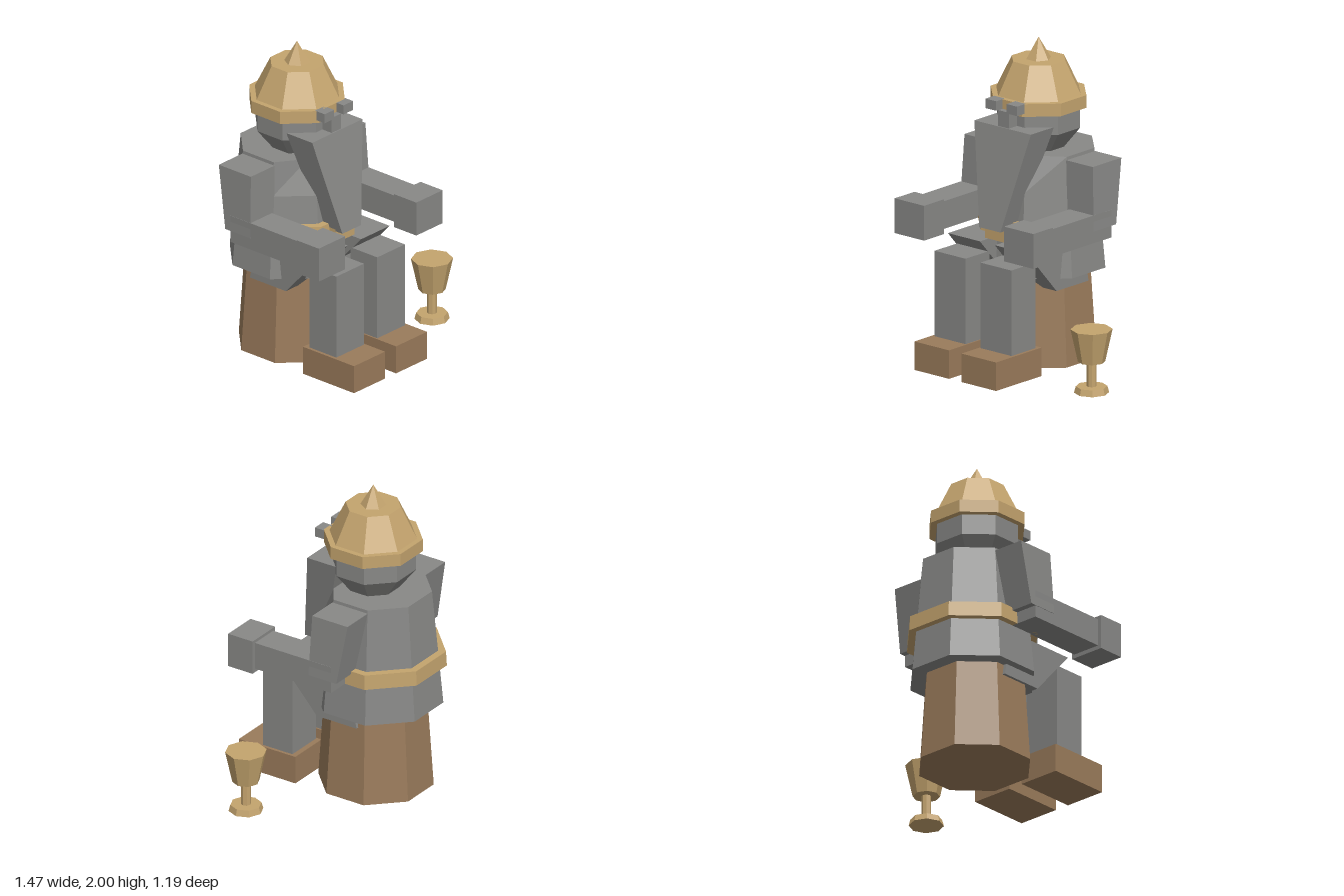
import * as THREE from 'three';

const mat = (name, color) => {
  const m = new THREE.MeshStandardMaterial({ color });
  m.name = name;
  return m;
};

export function createModel() {
  const grey = mat('stoneGrey', 0x888886);
  const gold = mat('dullGold', 0xc4a46e);
  const brown = mat('woodBrown', 0x9a7b5b);

  const model = new THREE.Group();
  model.name = 'seatedFigure';
  const CX = -0.177; // mirror plane of the figure

  // Faceted mesh with one normal per face
  function add(name, geometry, material, parent = model) {
    const g = geometry.index ? geometry.toNonIndexed() : geometry;
    g.computeVertexNormals();
    const mesh = new THREE.Mesh(g, material);
    mesh.name = name;
    parent.add(mesh);
    return mesh;
  }

  // Tapered octagonal prism, sized by the distance from axis to flat side
  function octagon(name, material, y0, y1, a0, a1, z) {
    const k = 1 / Math.cos(Math.PI / 8);
    const g = new THREE.CylinderGeometry(a1 * k, a0 * k, y1 - y0, 8);
    g.rotateY(Math.PI / 8).translate(CX, (y0 + y1) / 2, z);
    return add(name, g, material);
  }

  // Six-sided block between a bottom and a top rectangle [x0, x1, z0, z1]
  function block(name, material, y0, y1, bottom, top = bottom, parent = model) {
    const g = new THREE.BoxGeometry(1, 1, 1);
    const p = g.attributes.position;
    for (let i = 0; i < p.count; i++) {
      const up = p.getY(i) > 0;
      const r = up ? top : bottom;
      p.setXYZ(i, p.getX(i) > 0 ? r[1] : r[0], up ? y1 : y0, p.getZ(i) > 0 ? r[3] : r[2]);
    }
    return add(name, g, material, parent);
  }

  // Rectangle measured outwards from the mirror plane
  const rect = (s, inner, outer, z0, z1) => {
    const a = CX + s * inner, b = CX + s * outer;
    return [Math.min(a, b), Math.max(a, b), z0, z1];
  };

  // Stump seat
  octagon('stump', brown, 0, 0.6, 0.33, 0.293, -0.185);

  // Coat, with the upper chest sloping back
  octagon('coatLower', grey, 0.57, 1.1, 0.368, 0.322, -0.207);
  const chest = octagon('coatUpper', grey, 1.1, 1.32, 0.322, 0.303, -0.207);
  const cp = chest.geometry.attributes.position;
  for (let i = 0; i < cp.count; i++) {
    if (cp.getY(i) > 1.3) cp.setZ(i, Math.min(cp.getZ(i), 0.04));
  }
  chest.geometry.computeVertexNormals();

  // Belt and buckle
  octagon('belt', gold, 0.825, 0.92, 0.388, 0.383, -0.207);
  block('buckle', gold, 0.8, 0.93, [CX - 0.088, CX + 0.088, 0.15, 0.225]);

  // Head and face
  octagon('jaw', grey, 1.3, 1.45, 0.135, 0.245, -0.165);
  octagon('head', grey, 1.45, 1.6, 0.245, 0.245, -0.165);
  block('nose', grey, 1.48, 1.6, [CX - 0.043, CX + 0.043, 0.05, 0.155]);
  block('beard', grey, 0.88, 1.5,
    [CX - 0.085, CX + 0.085, 0.125, 0.28],
    [CX - 0.228, CX + 0.228, -0.05, 0.163]);

  // Helmet
  octagon('helmetBrim', gold, 1.58, 1.66, 0.283, 0.283, -0.165);
  octagon('helmetDome', gold, 1.66, 1.865, 0.25, 0.158, -0.165);
  const spike = new THREE.ConeGeometry(0.08, 0.137, 6);
  spike.rotateY(Math.PI / 6).translate(CX, 1.9315, -0.165);
  add('helmetSpike', spike, gold);

  // Paired parts
  for (const s of [1, -1]) {
    const side = s > 0 ? 'left' : 'right';
    block(side + 'Brow', grey, 1.6, 1.66, rect(s, 0.042, 0.128, 0.095, 0.175));

    const arm = new THREE.Group();
    arm.name = side + 'Arm';
    block('upperArm', grey, 0.9, 1.3,
      rect(s, 0.32, 0.538, -0.265, -0.06), rect(s, 0.303, 0.518, -0.335, -0.075), arm);
    block('forearm', grey, 0.825, 1.0, rect(s, 0.34, 0.535, -0.225, 0.34), undefined, arm);
    block('hand', grey, 0.8, 1.02, rect(s, 0.322, 0.56, 0.335, 0.515), undefined, arm);

    const leg = new THREE.Group();
    leg.name = side + 'Leg';
    block('thigh', grey, 0.5, 0.8,
      rect(s, 0.06, 0.318, -0.262, 0.03), rect(s, 0.06, 0.318, -0.2, 0.302), leg);
    block('shin', grey, 0.18, 0.72, rect(s, 0.06, 0.31, 0.215, 0.433), undefined, leg);
    block('boot', brown, 0, 0.18, rect(s, 0.05, 0.33, 0.18, 0.595), undefined, leg);
    model.add(arm, leg);
  }

  // Goblet on the ground
  const goblet = new THREE.Group();
  goblet.name = 'goblet';
  goblet.position.set(0.602, 0, 0.232);
  for (const [name, y0, y1, r0, r1] of [
    ['gobletFoot', 0, 0.04, 0.107, 0.096],
    ['gobletStem', 0.04, 0.195, 0.03, 0.03],
    ['gobletCup', 0.195, 0.4, 0.083, 0.128],
  ]) {
    const g = new THREE.CylinderGeometry(r1, r0, y1 - y0, 8);
    add(name, g.translate(0, (y0 + y1) / 2, 0), gold, goblet);
  }
  model.add(goblet);

  return model;
}
